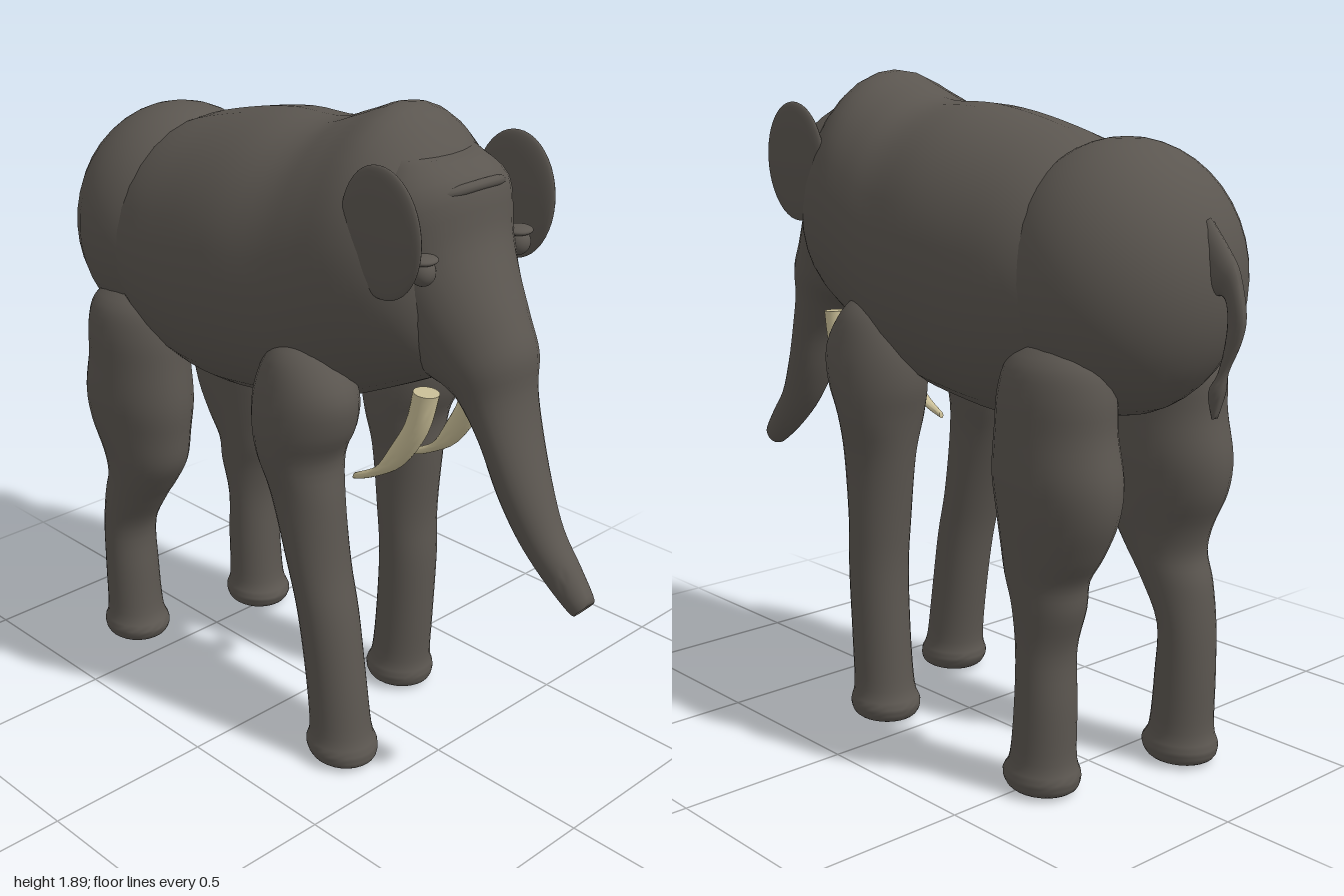
import * as THREE from 'three';
import { toCreasedNormals } from 'three/addons/utils/BufferGeometryUtils.js';

const skin = new THREE.MeshStandardMaterial({ color: 0x5b5650 });
skin.name = 'greySkin';
const ivory = new THREE.MeshStandardMaterial({ color: 0xc8bd96 });
ivory.name = 'ivory';

const spline = (a, b, c, d, t) =>
  0.5 * (2 * b + (c - a) * t + (2 * a - 5 * b + 4 * c - d) * t * t + (3 * b - a - 3 * c + d) * t * t * t);

// Smooth loft through elliptical rings. Row: [zFront, yFront, zBack, yBack, halfWidth, xCentre]
function loft(rows, sides = 28, steps = 4) {
  const rings = [];
  const at = (i) => rows[Math.max(0, Math.min(rows.length - 1, i))];
  for (let i = 0; i < rows.length - 1; i++) {
    for (let s = 0; s < steps; s++) {
      rings.push([0, 1, 2, 3, 4, 5].map((k) =>
        spline(at(i - 1)[k] ?? 0, at(i)[k] ?? 0, at(i + 1)[k] ?? 0, at(i + 2)[k] ?? 0, s / steps)));
    }
  }
  rings.push(at(rows.length));
  const pos = [], index = [];
  for (const [zf, yf, zb, yb, rx, x = 0] of rings) {
    for (let j = 0; j < sides; j++) {
      const a = (j / sides) * Math.PI * 2, s = Math.sin(a) / 2;
      pos.push(x + Math.cos(a) * rx, (yf + yb) / 2 + s * (yf - yb), (zf + zb) / 2 + s * (zf - zb));
    }
  }
  const n = rings.length;
  for (const [zf, yf, zb, yb, , x = 0] of [rings[0], rings[n - 1]]) pos.push(x, (yf + yb) / 2, (zf + zb) / 2);
  for (let j = 0; j < sides; j++) {
    const k = (j + 1) % sides, last = (n - 1) * sides;
    for (let i = 0; i < n - 1; i++) {
      const p = i * sides, q = p + sides;
      index.push(p + j, q + j, p + k, p + k, q + j, q + k);
    }
    index.push(n * sides, j, k, n * sides + 1, last + k, last + j);
  }
  const g = new THREE.BufferGeometry();
  g.setAttribute('position', new THREE.Float32BufferAttribute(pos, 3));
  g.setIndex(index);
  return toCreasedNormals(g, 1.0);
}

export function createModel() {
  const model = new THREE.Group();
  model.name = 'elephant';
  const add = (name, geometry, material = skin) => {
    const mesh = new THREE.Mesh(geometry, material);
    mesh.name = name;
    model.add(mesh);
    return mesh;
  };
  const blob = (name, p, r) => {
    const mesh = add(name, new THREE.SphereGeometry(1, 32, 22));
    mesh.position.set(...p);
    mesh.scale.set(...r);
    return mesh;
  };

  // Torso and neck, front to back: z, top, bottom, half width
  add('torso', loft([
    [0.57, 1.58, 1.29, 0.12], [0.52, 1.71, 1.21, 0.2], [0.44, 1.82, 1.165, 0.26], [0.33, 1.89, 1.11, 0.3],
    [0.2, 1.85, 1.05, 0.32], [0.08, 1.81, 1.0, 0.335], [-0.1, 1.805, 0.97, 0.355], [-0.3, 1.77, 0.955, 0.35],
    [-0.5, 1.71, 1.0, 0.325], [-0.7, 1.6, 1.12, 0.24],
  ].map(([z, top, bottom, w]) => [z, top, z, bottom, w]), 32));
  blob('rump', [0, 1.375, -0.6], [0.325, 0.36, 0.315]);

  // Face and trunk, tip to forehead
  add('faceAndTrunk', loft([
    [0.985, 0.695, 0.96, 0.67, 0.018], [1.0, 0.71, 0.95, 0.655, 0.036], [0.95, 0.78, 0.85, 0.73, 0.05],
    [0.885, 0.86, 0.765, 0.82, 0.062], [0.83, 0.97, 0.7, 0.93, 0.08], [0.78, 1.1, 0.645, 1.06, 0.098],
    [0.755, 1.21, 0.58, 1.15, 0.113], [0.75, 1.31, 0.53, 1.18, 0.13], [0.71, 1.4, 0.46, 1.2, 0.148],
    [0.655, 1.5, 0.4, 1.28, 0.175], [0.61, 1.6, 0.35, 1.4, 0.2], [0.585, 1.73, 0.3, 1.6, 0.21],
    [0.51, 1.78, 0.3, 1.78, 0.14],
  ]));

  // Brow ridge
  const brow = new THREE.CatmullRomCurve3([
    [-0.15, 1.69, 0.5], [-0.09, 1.715, 0.562], [0, 1.725, 0.582], [0.09, 1.715, 0.562], [0.15, 1.69, 0.5],
  ].map((p) => new THREE.Vector3(...p)));
  add('brow', new THREE.TubeGeometry(brow, 24, 0.014, 10));

  // Leg rows: y, zFront, zBack, half width
  const frontLeg = [
    [0, 0.2, 0.07, 0.06], [0.015, 0.235, 0.04, 0.09], [0.05, 0.245, 0.03, 0.1], [0.1, 0.235, 0.05, 0.088],
    [0.25, 0.243, 0.065, 0.085], [0.45, 0.25, 0.075, 0.088], [0.6, 0.245, 0.065, 0.092], [0.8, 0.262, 0.04, 0.1],
    [0.92, 0.27, 0.02, 0.125], [1.02, 0.315, 0, 0.135], [1.12, 0.325, 0.01, 0.128], [1.22, 0.26, 0.06, 0.1],
    [1.28, 0.2, 0.12, 0.04],
  ];
  const backLeg = [
    [0, -0.47, -0.6, 0.06], [0.015, -0.435, -0.635, 0.09], [0.05, -0.42, -0.645, 0.1], [0.1, -0.445, -0.63, 0.088],
    [0.25, -0.46, -0.63, 0.085], [0.4, -0.465, -0.625, 0.085], [0.52, -0.445, -0.66, 0.092],
    [0.6, -0.42, -0.67, 0.1], [0.68, -0.405, -0.72, 0.112], [0.78, -0.39, -0.765, 0.128],
    [0.88, -0.38, -0.775, 0.14], [1.0, -0.39, -0.75, 0.136], [1.1, -0.4, -0.745, 0.132],
    [1.18, -0.43, -0.72, 0.11], [1.24, -0.5, -0.65, 0.05],
  ];
  // The right legs step further along than the left ones
  const frontStep = (y) => 0.185 * Math.max(0, 1 - y / 0.9);
  const backStep = (y) => -0.115 * Math.max(0, Math.min(1, (0.68 - y) / 0.28));
  const leg = (name, rows, x, step) =>
    add(name, loft(rows.map(([y, f, b, w]) => [f + step(y), y, b + step(y), y, w, x])));
  leg('frontLegLeft', frontLeg, 0.213, () => 0);
  leg('frontLegRight', frontLeg, -0.213, frontStep);
  leg('backLegLeft', backLeg, 0.215, () => 0);
  leg('backLegRight', backLeg, -0.215, backStep);

  // Paired head parts
  for (const [label, s] of [['Left', 1], ['Right', -1]]) {
    const ear = blob('ear' + label, [s * 0.253, 1.627, 0.477], [0.022, 0.173, 0.137]);
    ear.rotation.z = s * -0.04;
    blob('eye' + label, [s * 0.182, 1.53, 0.555], [0.033, 0.036, 0.034]);
    blob('eyelid' + label, [s * 0.182, 1.562, 0.555], [0.04, 0.013, 0.038]);
    add('tusk' + label, loft([
      [0.256, 0.838, 0.26, 0.858, 0.008, 0.115], [0.33, 0.868, 0.345, 0.908, 0.019, 0.114],
      [0.433, 0.935, 0.395, 0.985, 0.026, 0.11], [0.51, 1.05, 0.445, 1.075, 0.031, 0.104],
      [0.54, 1.165, 0.465, 1.17, 0.034, 0.098],
    ].map((r) => [...r.slice(0, 5), s * r[5]]), 20), ivory);
  }

  // Tail, tuft to root
  add('tail', loft([
    [-0.905, 1.05, -0.92, 1.055, 0.008], [-0.895, 1.12, -0.94, 1.12, 0.022], [-0.92, 1.17, -0.95, 1.175, 0.012],
    [-0.94, 1.25, -0.985, 1.25, 0.014], [-0.945, 1.32, -0.998, 1.32, 0.018], [-0.93, 1.36, -0.975, 1.42, 0.022],
    [-0.88, 1.36, -0.945, 1.47, 0.03], [-0.82, 1.4, -0.88, 1.55, 0.03],
  ], 16));

  return model;
}
